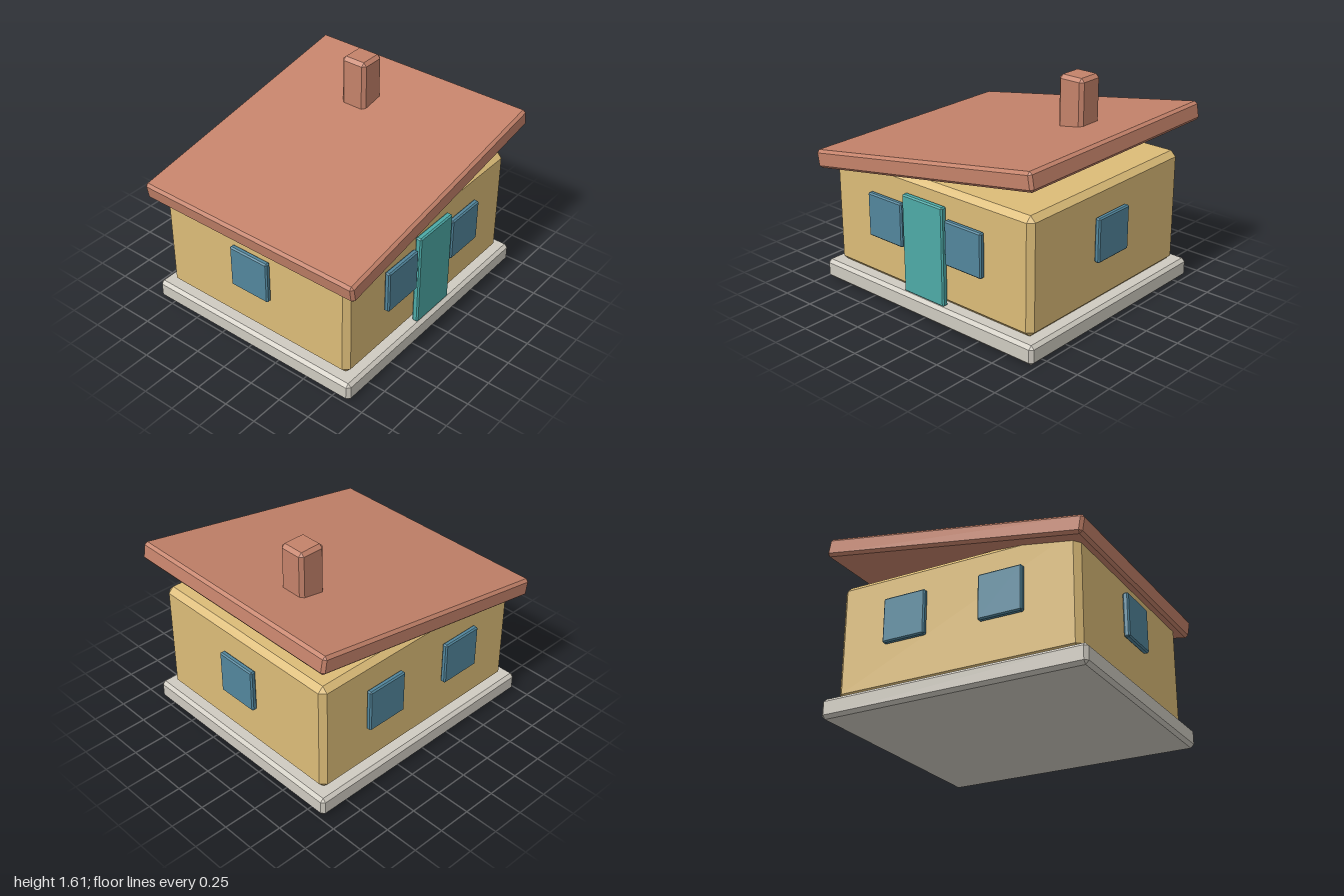
import * as THREE from 'three';
import { ConvexGeometry } from 'three/addons/geometries/ConvexGeometry.js';

const mat = (color) => new THREE.MeshStandardMaterial({ color });
const wallMat = mat(0xdcbc78);
const roofMat = mat(0xc4826a);
const stoneMat = mat(0xcfcbc1);
const doorMat = mat(0x4daaa7);
const glassMat = mat(0x52869c);

// Box with every edge and corner cut flat by c
function chamferBox(w, h, d, c) {
  const half = [w / 2, h / 2, d / 2];
  const points = [];
  for (const sx of [-1, 1]) for (const sy of [-1, 1]) for (const sz of [-1, 1]) {
    for (let face = 0; face < 3; face++) {
      const p = half.map((v, axis) => (axis === face ? v : v - c));
      points.push(new THREE.Vector3(sx * p[0], sy * p[1], sz * p[2]));
    }
  }
  return new ConvexGeometry(points);
}

export function createModel() {
  const house = new THREE.Group();
  house.name = 'house';

  const add = (name, size, chamfer, position, material) => {
    const mesh = new THREE.Mesh(chamferBox(...size, chamfer), material);
    mesh.name = name;
    mesh.position.set(...position);
    house.add(mesh);
    return mesh;
  };

  const cx = -0.003; // the body sits a hair off the roof's centre

  // Foundation and walls
  add('foundation', [1.965, 0.143, 1.757], 0.024, [cx, 0.0715, 0], stoneMat);
  add('walls', [1.823, 0.85, 1.614], 0.04, [cx, 0.565, 0], wallMat);

  // Single-pitch roof, rising to the left
  const roof = add('roof', [2.014, 0.134, 1.822], 0.02, [0, 1.108, 0], roofMat);
  roof.rotation.z = THREE.MathUtils.degToRad(10);

  // Chimney passing through the roof
  add('chimney', [0.208, 0.586, 0.208], 0.025, [0.492, 1.32, -0.178], roofMat);

  // Door
  add('door', [0.374, 0.727, 0.048], 0.01, [cx, 0.508, 0.836], doorMat);

  // Windows: a pair on the front and back, one on each side
  const wy = 0.627;
  for (const s of [-1, 1]) {
    const side = s > 0 ? 'left' : 'right';
    add(side + 'FrontWindow', [0.326, 0.326, 0.043], 0.01, [cx + s * 0.365, wy, 0.835], glassMat);
    add(side + 'BackWindow', [0.326, 0.326, 0.043], 0.01, [cx + s * 0.365, wy, -0.835], glassMat);
    add(side + 'SideWindow', [0.043, 0.326, 0.328], 0.01, [cx + s * 0.938, wy, 0], glassMat);
  }

  return house;
}
